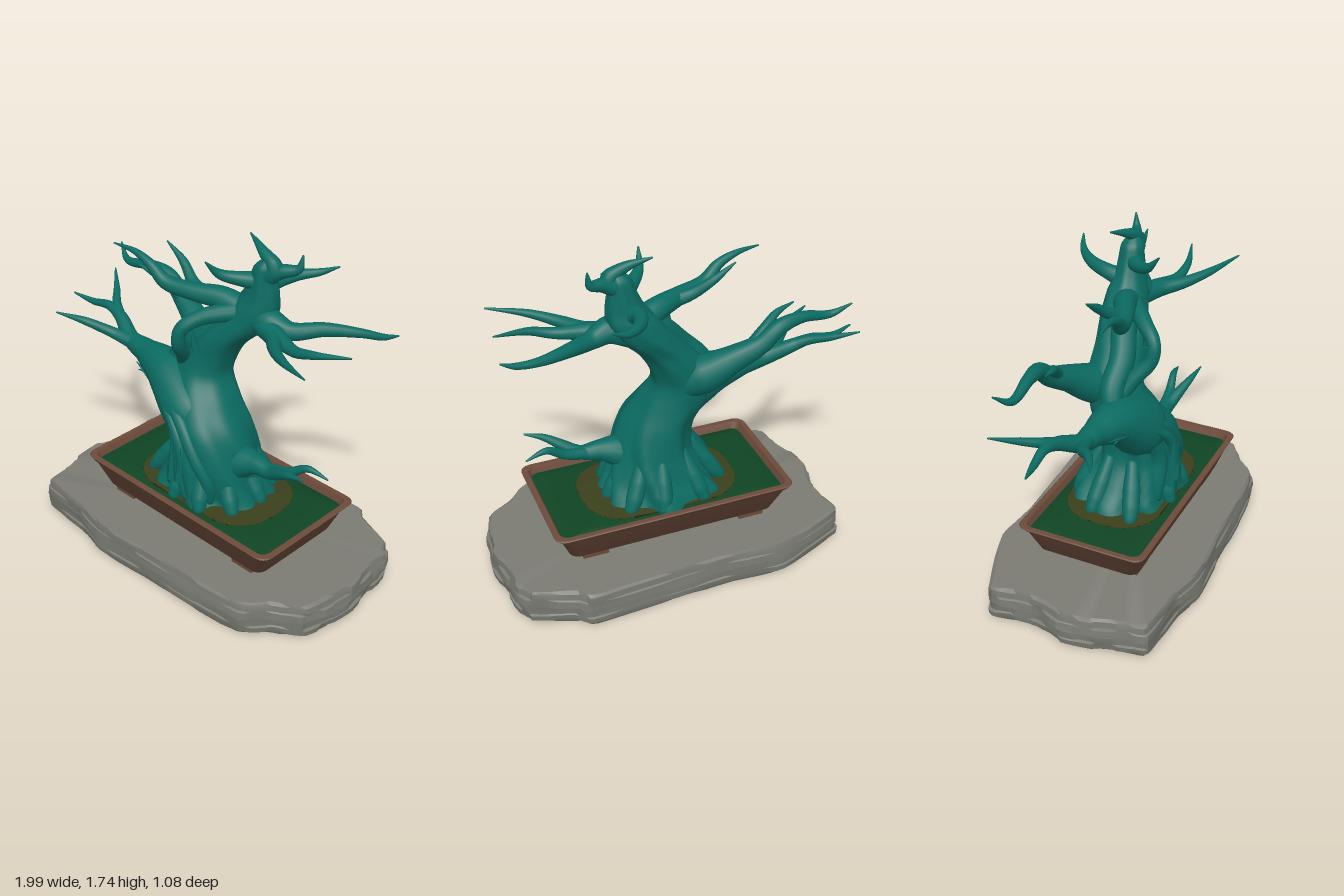
import * as THREE from 'three';
import { toCreasedNormals } from 'three/addons/utils/BufferGeometryUtils.js';

const V = (p) => new THREE.Vector3(...p);
const mat = (color, extra = {}) => new THREE.MeshStandardMaterial({ color, ...extra });
const BARK = mat(0x0b6b62), CLAY = mat(0x6b4a3a), STONE = mat(0x7b7b74), MOSS = mat(0x0f4424), EARTH = mat(0x3a3f1c);

// Skin a stack of equal-length rings, closing both ends with a fan
function loft(rings) {
  const n = rings[0].length, pos = [], idx = [];
  const put = (p) => pos.push(p.x, p.y, p.z);
  rings.forEach((r) => r.forEach(put));
  for (let i = 0; i < rings.length - 1; i++) {
    for (let j = 0; j < n; j++) {
      const a = i * n + j, b = i * n + (j + 1) % n;
      idx.push(a, b, a + n, b, b + n, a + n);
    }
  }
  [0, rings.length - 1].forEach((i, end) => {
    const c = pos.length / 3;
    put(rings[i].reduce((s, p) => s.add(p), new THREE.Vector3()).divideScalar(n));
    for (let j = 0; j < n; j++) {
      const a = i * n + j, b = i * n + (j + 1) % n;
      idx.push(...(end ? [a, b, c] : [b, a, c]));
    }
  });
  const g = new THREE.BufferGeometry();
  g.setAttribute('position', new THREE.Float32BufferAttribute(pos, 3));
  g.setIndex(idx);
  g.computeVertexNormals();
  return g;
}

// Round limb along points [x, y, z, radius]
function limb(pts, sides = 14) {
  const curve = new THREE.CatmullRomCurve3(pts.map((p) => V(p)));
  const steps = (pts.length - 1) * 7;
  const { normals, binormals } = curve.computeFrenetFrames(steps);
  const rings = [];
  for (let i = 0; i <= steps; i++) {
    const u = curve.getUtoTmapping(i / steps) * (pts.length - 1);
    const k = Math.min(Math.floor(u), pts.length - 2);
    const r = THREE.MathUtils.lerp(pts[k][3], pts[k + 1][3], u - k);
    const c = curve.getPointAt(i / steps);
    rings.push(Array.from({ length: sides }, (_, j) => {
      const a = (j / sides) * Math.PI * 2;
      return c.clone().addScaledVector(normals[i], r * Math.cos(a)).addScaledVector(binormals[i], r * Math.sin(a));
    }));
  }
  return loft(rings);
}

// Rounded rectangle ring at height y
function rectRing(y, hx, hz, r, cx) {
  const ring = [];
  for (let k = 0; k < 4; k++) {
    const mid = (k + 0.5) * Math.PI / 2;
    for (let i = 0; i <= 4; i++) {
      const a = (k + i / 4) * Math.PI / 2;
      ring.push(V([cx + Math.sign(Math.sin(mid)) * (hx - r) + r * Math.sin(a), y,
        Math.sign(Math.cos(mid)) * (hz - r) + r * Math.cos(a)]));
    }
  }
  return ring;
}

// Leaning trunk with twisting flutes that spread into the roots
function trunkGeometry() {
  const st = [ // y, centre x, centre z, radius x, radius z
    [.34, .07, -.01, .325, .27], [.40, .07, -.01, .295, .25], [.47, .085, .005, .255, .235],
    [.60, .105, .025, .205, .22], [.75, .075, .03, .185, .205], [.88, 0, .005, .18, .175],
    [1.0, -.03, -.03, .145, .14], [1.1, 0, -.05, .14, .13], [1.2, .07, -.06, .13, .12],
    [1.3, .165, -.085, .135, .115], [1.4, .235, -.1, .125, .1], [1.48, .27, -.1, .095, .075],
    [1.56, .285, -.1, .07, .065], [1.63, .295, -.1, .055, .055], [1.675, .31, -.1, .02, .02]];
  const centre = new THREE.CatmullRomCurve3(st.map((s) => V([s[1], s[0], s[2]])));
  const radius = new THREE.CatmullRomCurve3(st.map((s) => V([s[3], 0, s[4]])));
  const rings = [], rows = 80, sides = 64;
  for (let i = 0; i <= rows; i++) {
    const c = centre.getPoint(i / rows), r = radius.getPoint(i / rows);
    const low = THREE.MathUtils.clamp((0.95 - c.y) / 0.55, 0, 1);
    rings.push(Array.from({ length: sides }, (_, j) => {
      const a = (j / sides) * Math.PI * 2, tw = a + c.y * 1.6;
      const f = 1 + (0.02 + 0.07 * low * low) * Math.cos(7 * tw) + 0.025 * low * Math.cos(12 * tw + 1);
      return V([c.x + r.x * f * Math.sin(a), c.y, c.z + r.z * f * Math.cos(a)]);
    }));
  }
  return loft(rings);
}

// Rough stone slab: irregular outline with layered, chipped sides
function slabGeometry() {
  const outline = [[-.80, -.37], [-.80, -.25], [-.79, -.1], [-.84, .05], [-.82, .2], [-.77, .35], [-.74, .47],
    [-.45, .49], [-.25, .535], [.05, .515], [.4, .50], [.69, .47], [.80, .36], [.93, .28], [.97, .15],
    [.99, -.02], [.96, -.2], [.95, -.33], [.90, -.41], [.70, -.49], [.62, -.545], [.2, -.525], [-.1, -.51], [-.42, -.525]];
  const pts = new THREE.CatmullRomCurve3(outline.map(([x, z]) => V([x, 0, z])), true, 'catmullrom', 0.25).getPoints(120).slice(0, -1);
  const layers = [[0, .97], [.02, .995], [.05, 1], [.055, .992], [.095, .995], [.1, 1.003], [.14, .998], [.145, .99], [.178, .985], [.19, .97]];
  return toCreasedNormals(loft(layers.map(([y, s], k) => pts.map((p, j) => {
    const chip = s + 0.007 * Math.sin(Math.floor(j / 3) * 2.3 + Math.floor((k + 1) / 2) * 1.7);
    return V([0.08 + (p.x - 0.08) * chip, y, p.z * chip]);
  }))), 0.5);
}

// Limbs as [x, y, z, radius] points, from thick end to tip
const BRANCHES = {
  lowerRightBranch: [
    [[.08, .7, .05, .14], [-.03, .81, .075, .155], [-.2, .92, .05, .122], [-.4, .96, .03, .064], [-.52, .975, .02, .046], [-.66, 1.04, -.03, .034], [-.76, 1.065, -.04, .025], [-.88, 1.05, -.03, .018], [-1, 1.07, 0, .005]],
    [[-.6, 1.015, -.01, .03], [-.72, 1.07, -.06, .026], [-.81, 1.11, -.14, .018], [-.92, 1.165, -.23, .004]],
    [[-.48, .97, .03, .04], [-.6, 1.0, .07, .03], [-.72, 1.06, .16, .022], [-.86, 1.09, .24, .004]]],
  middleRightBranch: [
    [[.02, .98, -.05, .09], [-.12, 1.05, -.13, .1], [-.25, 1.13, -.18, .068], [-.38, 1.2, -.21, .05], [-.48, 1.28, -.215, .04], [-.6, 1.3, -.2, .03], [-.77, 1.28, -.19, .02], [-.86, 1.34, -.23, .004]],
    [[-.33, 1.18, -.2, .038], [-.42, 1.26, -.17, .028], [-.5, 1.31, -.13, .018], [-.6, 1.34, -.11, .004]]],
  upperRightBranch: [
    [[.22, 1.36, -.08, .07], [.08, 1.41, -.04, .058], [-.05, 1.42, .02, .046], [-.2, 1.44, .07, .038], [-.28, 1.51, .09, .026], [-.38, 1.55, .1, .016], [-.51, 1.56, .12, .004]],
    [[0, 1.41, 0, .04], [-.1, 1.44, -.02, .03], [-.2, 1.51, -.05, .022], [-.31, 1.58, -.05, .004]]],
  upperLeftBranch: [
    [[.23, 1.33, -.1, .07], [.34, 1.365, -.08, .07], [.45, 1.345, -.11, .045], [.58, 1.37, -.2, .034], [.74, 1.385, -.27, .022], [.85, 1.4, -.29, .016], [.92, 1.43, -.3, .004]],
    [[.28, 1.35, -.08, .06], [.43, 1.35, -.03, .042], [.58, 1.345, .02, .028], [.7, 1.375, .03, .02], [.88, 1.41, -.02, .004]],
    [[.28, 1.35, -.08, .06], [.43, 1.345, -.01, .042], [.53, 1.36, .09, .03], [.66, 1.385, .18, .02], [.85, 1.41, .26, .004]]],
  lowerLeftBranch: [
    [[.16, .54, .03, .09], [.29, .6, .02, .085], [.38, .625, .02, .054], [.48, .63, .03, .036], [.57, .68, .06, .028], [.65, .725, .09, .018], [.745, .755, .11, .004]],
    [[.45, .625, .02, .035], [.57, .66, 0, .026], [.67, .72, -.02, .018], [.78, .7, -.04, .004]]],
  crown: [
    [[.28, 1.56, -.1, .055], [.35, 1.635, -.1, .042], [.27, 1.69, -.11, .026], [.15, 1.735, -.15, .004]],
    [[.29, 1.55, -.1, .05], [.21, 1.56, -.03, .036], [.145, 1.59, .05, .024], [.12, 1.665, .12, .004]],
    [[.29, 1.58, -.1, .05], [.38, 1.625, -.12, .035], [.45, 1.65, -.15, .022], [.465, 1.72, -.16, .004]],
    [[.27, 1.44, -.1, .06], [.24, 1.48, -.2, .04], [.28, 1.5, -.32, .03], [.37, 1.52, -.41, .018], [.45, 1.56, -.45, .004]]],
  twistedDeadwood: [
    [[-.12, 1.0, .02, .04], [-.07, 1.1, .08, .04], [-.03, 1.19, .15, .036], [-.01, 1.28, .155, .034], [.05, 1.34, .08, .04], [.2, 1.38, -.06, .05]],
    [[-.2, .95, .03, .05], [-.15, 1.06, .0, .06], [-.04, 1.17, .0, .065], [.07, 1.29, -.04, .065], [.18, 1.36, -.08, .06]]],
  barkRidges: [
    [[.2, .38, .17, .03], [.21, .5, .19, .035], [.15, .64, .22, .036], [.04, .79, .205, .036], [-.14, .9, .145, .034], [-.36, .955, .07, .02]],
    [[.1, .38, .22, .03], [.07, .5, .23, .032], [.07, .64, .235, .032], [.02, .75, .225, .03], [-.12, .86, .175, .025], [-.24, .9, .1, .015]],
    [[-.04, .4, .18, .04], [-.02, .5, .19, .045], [0, .64, .18, .05], [-.07, .78, .16, .04], [-.2, .88, .1, .02]]],
  roots: [[-.24, .14], [-.24, -.08], [-.09, -.23], [.14, -.26], [.3, -.2], [.37, -.03], [.34, .15], [.2, .25], [.02, .25]].map(([x, z]) =>
    [[.09 + (x - .09) * .5, .62, z * .55, .03], [.085 + (x - .085) * .72, .5, z * .76, .045], [.08 + (x - .08) * .88, .42, z * .9, .045], [x, .36, z, .03], [x, .345, z * 1.04, .01]]),
};

// Splintered wood: [base, tip]
const SPLINTERS = [
  [[.01, .47, .25], [.03, .77, .26]], [[.06, .48, .25], [.09, .7, .26]], [[.09, .74, .2], [.01, .7, .27]],
  [[-.17, .87, .15], [-.41, .93, .1]], [[-.2, .94, .13], [-.38, .89, .11]], [[.02, 1.14, .08], [.01, 1.31, .11]]];

export function createModel() {
  const model = new THREE.Group();
  const add = (parent, name, geo, material) => {
    const m = new THREE.Mesh(geo, material);
    m.name = name;
    parent.add(m);
    return m;
  };

  add(model, 'stoneSlab', slabGeometry(), STONE);

  // Tapered tray pot, soil and feet
  const pot = new THREE.Group();
  pot.name = 'pot';
  const cx = 0.088;
  const profile = [[.212, .54, .26, .04], [.225, .555, .275, .05], [.36, .61, .325, .05], [.372, .628, .335, .055],
    [.39, .643, .345, .055], [.395, .638, .34, .055], [.395, .612, .314, .045], [.385, .607, .309, .04], [.345, .59, .295, .04]];
  add(pot, 'tray', toCreasedNormals(loft(profile.map(([y, hx, hz, r]) => rectRing(y, hx, hz, r, cx))), 0.6), CLAY);
  add(pot, 'moss', loft([[.35, .6, .302], [.36, .597, .3], [.368, .5, .25], [.372, .2, .12]].map(([y, hx, hz]) => rectRing(y, hx, hz, .04, cx))), MOSS);
  add(pot, 'bareEarth', loft([[.36, .43, .27, .2], [.372, .41, .25, .2], [.378, .2, .12, .1]].map(([y, hx, hz, r]) => rectRing(y, hx, hz, r, cx))), EARTH);
  for (const x of [-.345, .51]) {
    for (const z of [-.21, .21]) add(pot, 'foot', new THREE.BoxGeometry(.135, .035, .1), CLAY).position.set(x, .202, z);
  }
  model.add(pot);

  // Tree
  const tree = new THREE.Group();
  tree.name = 'tree';
  add(tree, 'trunk', trunkGeometry(), BARK);
  for (const [name, limbs] of Object.entries(BRANCHES)) {
    const group = new THREE.Group();
    group.name = name;
    limbs.forEach((pts) => add(group, name + 'Limb', limb(pts), BARK));
    tree.add(group);
  }
  const splinterMat = mat(0x0b6b62, { flatShading: true });
  for (const [a, b] of SPLINTERS) {
    const from = V(a), dir = V(b).sub(from), len = dir.length();
    const s = add(tree, 'splinter', new THREE.ConeGeometry(.024, len, 5), splinterMat);
    s.position.copy(from).addScaledVector(dir, 0.5);
    s.quaternion.setFromUnitVectors(new THREE.Vector3(0, 1, 0), dir.normalize());
  }
  model.add(tree);
  return model;
}
